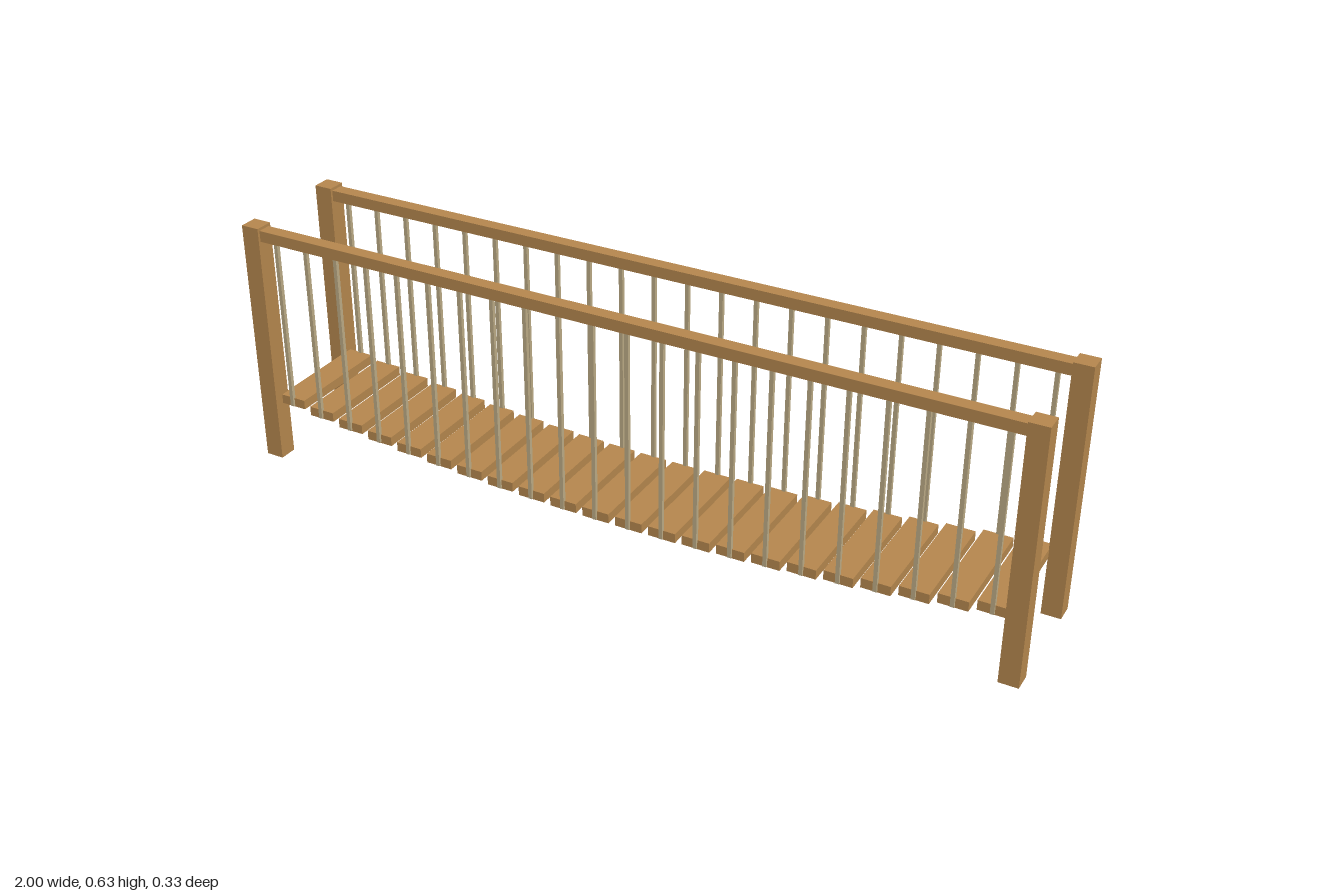
import * as THREE from 'three';

export function createModel() {
  const model = new THREE.Group();
  const wood = new THREE.MeshStandardMaterial({ color: 0xb8894f });
  wood.name = 'wood';
  const rope = new THREE.MeshStandardMaterial({ color: 0xbfae88 });
  rope.name = 'rope';

  const SIDE_Z = 0.142; // centre line of posts, rails and ropes
  const RAIL_BOTTOM = 0.598;
  const PLANKS = 22;
  const PLANK_HEIGHT = 0.024;

  function add(name, geometry, material, x, y, z) {
    const mesh = new THREE.Mesh(geometry, material);
    mesh.name = name;
    mesh.position.set(x, y, z);
    model.add(mesh);
  }

  // Corner posts and handrails
  const postGeometry = new THREE.BoxGeometry(0.047, 0.633, 0.047);
  const railGeometry = new THREE.BoxGeometry(1.908, 0.028, 0.034);
  for (const side of [-1, 1]) {
    for (const end of [-1, 1]) {
      add('post', postGeometry, wood, end * 0.9765, 0.3165, side * SIDE_Z);
    }
    add('handrail', railGeometry, wood, 0, RAIL_BOTTOM + 0.014, side * SIDE_Z);
  }

  // Sagging walkway planks, each hung from both rails
  const plankGeometry = new THREE.BoxGeometry(0.07, PLANK_HEIGHT, 0.282);
  for (let i = 0; i < PLANKS; i++) {
    const t = (2 * i) / (PLANKS - 1) - 1;
    const x = 0.919 * t;
    const y = 0.095 + 0.065 * t * t;
    add('plank', plankGeometry, wood, x, y, 0);

    // Square-section hangers let into the plank ends
    const bottom = y - PLANK_HEIGHT / 2 + 0.003;
    const top = RAIL_BOTTOM + 0.005;
    const ropeGeometry = new THREE.BoxGeometry(0.0095, top - bottom, 0.0095);
    for (const side of [-1, 1]) {
      add('hangerRope', ropeGeometry, rope, x, (top + bottom) / 2, side * SIDE_Z);
    }
  }

  return model;
}
